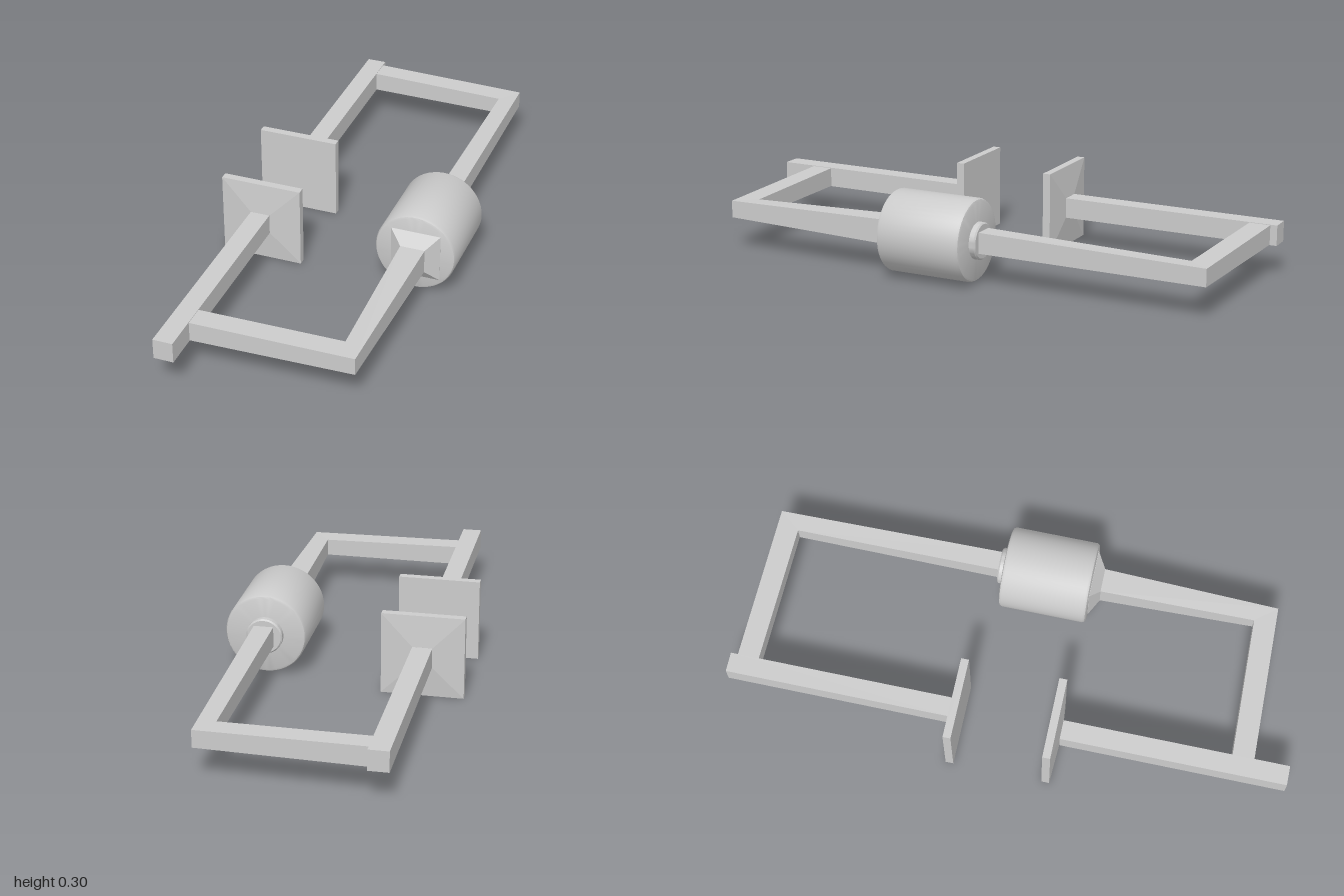
import * as THREE from 'three';
import { toCreasedNormals } from 'three/addons/utils/BufferGeometryUtils.js';

const material = new THREE.MeshStandardMaterial({ color: 0xcccccc });

// Flat-sided solid through a row of four-cornered sections, capped at both ends
function loft(sections) {
  const pos = [];
  const quad = (a, b, c, d) => pos.push(...a, ...b, ...c, ...a, ...c, ...d);
  for (let s = 0; s < sections.length - 1; s++) {
    const p = sections[s], q = sections[s + 1];
    for (let i = 0; i < 4; i++) {
      const j = (i + 1) % 4;
      quad(p[i], q[i], q[j], p[j]);
    }
  }
  quad(...sections[0]);
  quad(...[...sections[sections.length - 1]].reverse());
  const geometry = new THREE.BufferGeometry();
  geometry.setAttribute('position', new THREE.Float32BufferAttribute(pos, 3));
  geometry.computeVertexNormals();
  return geometry;
}

// Upright section from its outer and inner [x, z] points
const upright = ([ox, oz], [ix, iz], y0, y1) =>
  [[ox, y0, oz], [ox, y1, oz], [ix, y1, iz], [ix, y0, iz]];

// Rectangular section facing z
const facing = (cx, cy, hx, hy, z) =>
  [[cx - hx, cy - hy, z], [cx - hx, cy + hy, z], [cx + hx, cy + hy, z], [cx + hx, cy - hy, z]];

// Turned part along z from [radius, z] points
function turned(points) {
  const g = new THREE.LatheGeometry(points.map(([r, z]) => new THREE.Vector2(r, z)), 48);
  g.rotateX(Math.PI / 2);
  return toCreasedNormals(g, Math.PI / 5);
}

export function createModel() {
  const model = new THREE.Group();
  const add = (name, geometry, x = 0, y = 0, z = 0) => {
    const mesh = new THREE.Mesh(geometry, material);
    mesh.name = name;
    mesh.position.set(x, y, z);
    model.add(mesh);
  };

  // Straight rods and the two facing plates with shallow pyramid backs
  for (const [side, s] of [['front', 1], ['back', -1]]) {
    add(side + 'Rod', new THREE.BoxGeometry(0.07, 0.073, 0.81), -0.287, 0.1485, s * 0.595);
    const plate = [
      facing(-0.287, 0.1485, 0.146, 0.1485, s * 0.16),
      facing(-0.287, 0.1485, 0.146, 0.1485, s * 0.188),
      facing(-0.287, 0.1485, 0.036, 0.037, s * 0.2),
    ];
    add(side + 'Plate', loft(s > 0 ? plate : plate.reverse()));
  }

  // Bent arms: crossbar, mitred corner, then run to the drum
  add('frontArm', loft([
    upright([-0.256, 0.875], [-0.256, 0.798], 0.113, 0.183),
    upright([0.318, 0.864], [0.256, 0.787], 0.118, 0.18),
    upright([0.333, 0.225], [0.245, 0.225], 0.107, 0.194),
  ]));
  add('backArm', loft([
    upright([-0.256, -0.975], [-0.256, -0.899], 0.113, 0.183),
    upright([0.318, -0.962], [0.256, -0.886], 0.116, 0.178),
    upright([0.322, -0.13], [0.252, -0.13], 0.118, 0.192),
  ].reverse()));

  // Drum with softened rims
  add('drum', turned([
    [0, -0.12], [0.134, -0.12], [0.141, -0.117], [0.145, -0.109],
    [0.145, 0.186], [0.141, 0.194], [0.134, 0.197], [0, 0.197],
  ]), 0.286, 0.153, 0);

  // Flared square foot at the front, round collar at the back
  add('frontFlare', loft([
    facing(0.289, 0.15, 0.089, 0.088, 0.19),
    facing(0.289, 0.15, 0.089, 0.088, 0.198),
    facing(0.289, 0.15, 0.044, 0.0435, 0.232),
  ]));
  add('backCollar', turned([
    [0, -0.143], [0.06, -0.143], [0.065, -0.138], [0.065, -0.11], [0, -0.11],
  ]), 0.286, 0.153, 0);

  return model;
}
